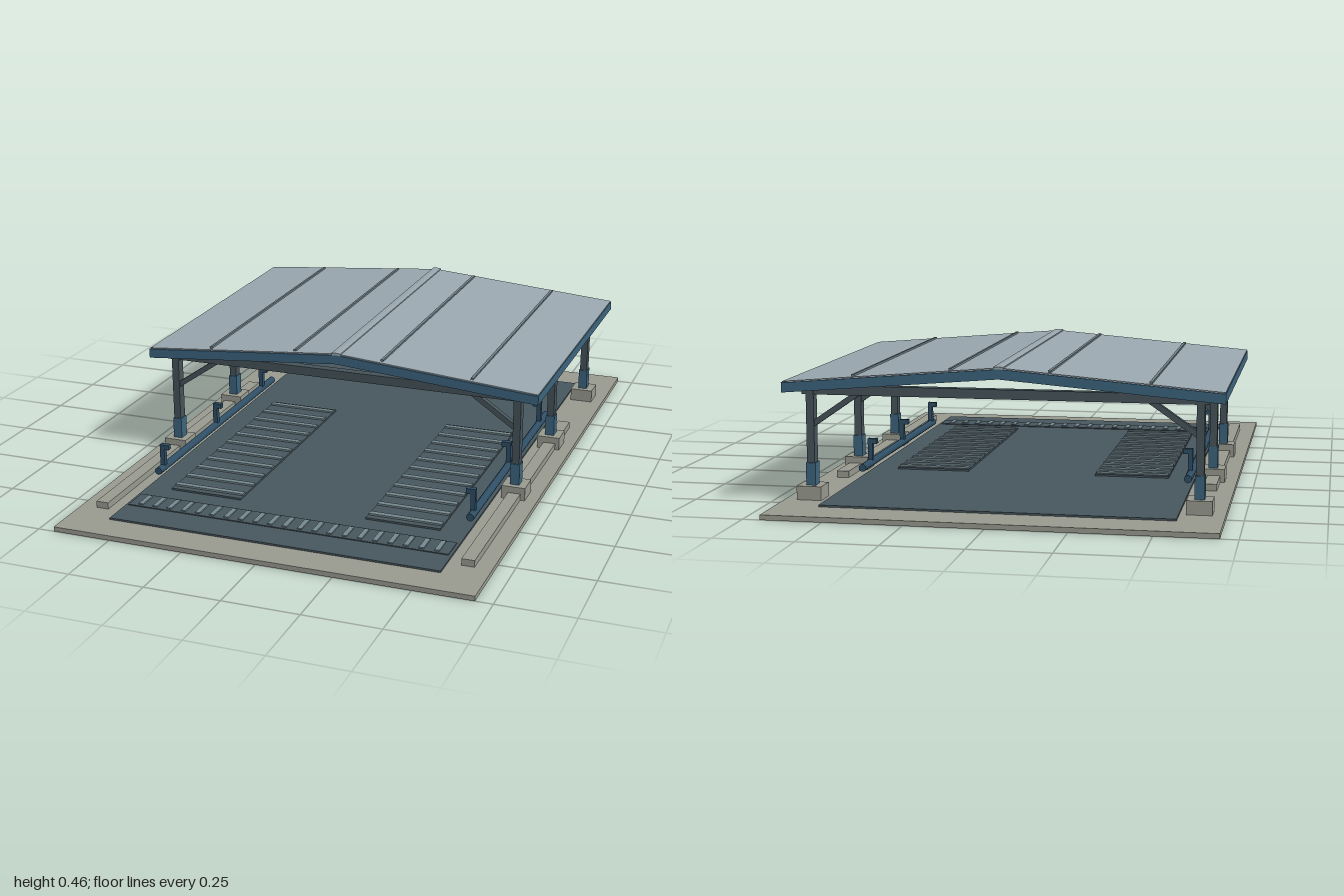
import * as THREE from 'three';

const mat = (name, color) => Object.assign(new THREE.MeshStandardMaterial({ color }), { name });

export function createModel() {
  const concrete = mat('concrete', 0x999c91);
  const floorSlate = mat('floor slate', 0x48575f);
  const steel = mat('dark steel', 0x46545b);
  const blue = mat('trim blue', 0x3d657f);
  const railBlue = mat('rail blue', 0x2f4f66);
  const roofGrey = mat('roof grey', 0x9aa8b0);
  const seamGrey = mat('seam grey', 0x6f7e86);
  const stripGrey = mat('strip grey', 0x758990);

  const model = new THREE.Group();
  model.name = 'canopyShelter';

  const add = (name, geometry, material) => {
    const mesh = new THREE.Mesh(geometry, material);
    mesh.name = name;
    model.add(mesh);
    return mesh;
  };
  // Box given by its minimum and maximum on each axis
  const box = (name, material, x0, x1, y0, y1, z0, z1) => {
    const mesh = add(name, new THREE.BoxGeometry(x1 - x0, y1 - y0, z1 - z0), material);
    mesh.position.set((x0 + x1) / 2, (y0 + y1) / 2, (z0 + z1) / 2);
    return mesh;
  };
  // Box centred on x and z
  const block = (name, material, x, z, w, d, y0, y1) =>
    box(name, material, x - w / 2, x + w / 2, y0, y1, z - d / 2, z + d / 2);

  // Ground
  box('groundSlab', concrete, -0.695, 0.695, 0, 0.016, -1, 1);
  box('floorPanel', floorSlate, -0.555, 0.555, 0.016, 0.022, -0.86, 0.89);

  // Drain channel across the entrance
  box('drainChannel', floorSlate, -0.545, 0.545, 0.022, 0.025, 0.69, 0.78);
  for (let i = -10; i <= 10; i++) block('drainBar', stripGrey, i * 0.0505, 0.735, 0.016, 0.07, 0.025, 0.029);

  const frames = [0.255, -0.215, -0.73];
  for (const s of [-1, 1]) {
    // Ribbed floor mat
    block('matBase', floorSlate, s * 0.343, 0.185, 0.25, 0.87, 0.022, 0.028);
    for (let i = 0; i < 11; i++) block('matStrip', stripGrey, s * 0.343, 0.588 - i * 0.081, 0.245, 0.02, 0.028, 0.034);

    // Kerb
    block('kerb', concrete, s * 0.619, 0.21, 0.042, 1.22, 0.016, 0.038);

    // Low rail with hooked posts
    const rail = add('rail', new THREE.CylinderGeometry(0.013, 0.013, 0.97, 12), railBlue);
    rail.rotation.x = Math.PI / 2;
    rail.position.set(s * 0.547, 0.053, 0.075);
    for (const z of [0.52, 0.1, -0.31]) {
      block('railPost', railBlue, s * 0.546, z, 0.016, 0.018, 0.05, 0.136);
      block('railHook', railBlue, s * 0.538, z, 0.032, 0.018, 0.12, 0.137);
    }

    // Columns with footings, sleeves and knee braces
    for (const z of frames) {
      block('footing', concrete, s * 0.615, z, 0.08, 0.08, 0.016, 0.06);
      block('columnSleeve', blue, s * 0.614, z, 0.031, 0.04, 0.06, 0.132);
      block('column', steel, s * 0.614, z, 0.025, 0.034, 0.132, 0.365);
      const brace = add('kneeBrace', new THREE.BoxGeometry(0.185, 0.018, 0.02), steel);
      brace.position.set(s * 0.53, 0.308, z);
      brace.rotation.z = -s * Math.atan2(0.1, 0.145);
    }

    // Eave fascia
    box('eaveFascia', blue, s > 0 ? 0.68 : -0.692, s > 0 ? 0.692 : -0.68, 0.361, 0.392, -0.79, 0.31);
  }

  // Cross beams
  for (const z of frames) block('crossBeam', steel, 0, z, 1.28, 0.03, 0.35, 0.38);

  // Chevron band following the roof pitch, extruded along z
  const chevron = (name, material, half, eave, ridge, drop, z0, z1) => {
    const shape = new THREE.Shape([
      [-half, eave - drop], [0, ridge - drop], [half, eave - drop],
      [half, eave], [0, ridge], [-half, eave],
    ].map(([x, y]) => new THREE.Vector2(x, y)));
    const mesh = add(name, new THREE.ExtrudeGeometry(shape, { depth: z1 - z0, bevelEnabled: false }), material);
    mesh.position.z = z0;
  };
  chevron('roofSheet', roofGrey, 0.69, 0.395, 0.453, 0.012, -0.785, 0.305);
  chevron('frontFascia', blue, 0.692, 0.391, 0.449, 0.031, 0.297, 0.31);
  chevron('backFascia', blue, 0.692, 0.391, 0.449, 0.031, -0.79, -0.777);
  chevron('ridgeCap', roofGrey, 0.016, 0.4555, 0.457, 0.008, -0.79, 0.31);

  // Standing seams
  const slope = 0.058 / 0.69;
  for (const x of [-0.465, -0.155, 0.155, 0.465]) {
    const y = 0.453 - Math.abs(x) * slope;
    const seam = block('roofSeam', seamGrey, x, -0.24, 0.009, 1.06, y - 0.003, y + 0.006);
    seam.rotation.z = -Math.sign(x) * Math.atan(slope);
  }
  return model;
}
